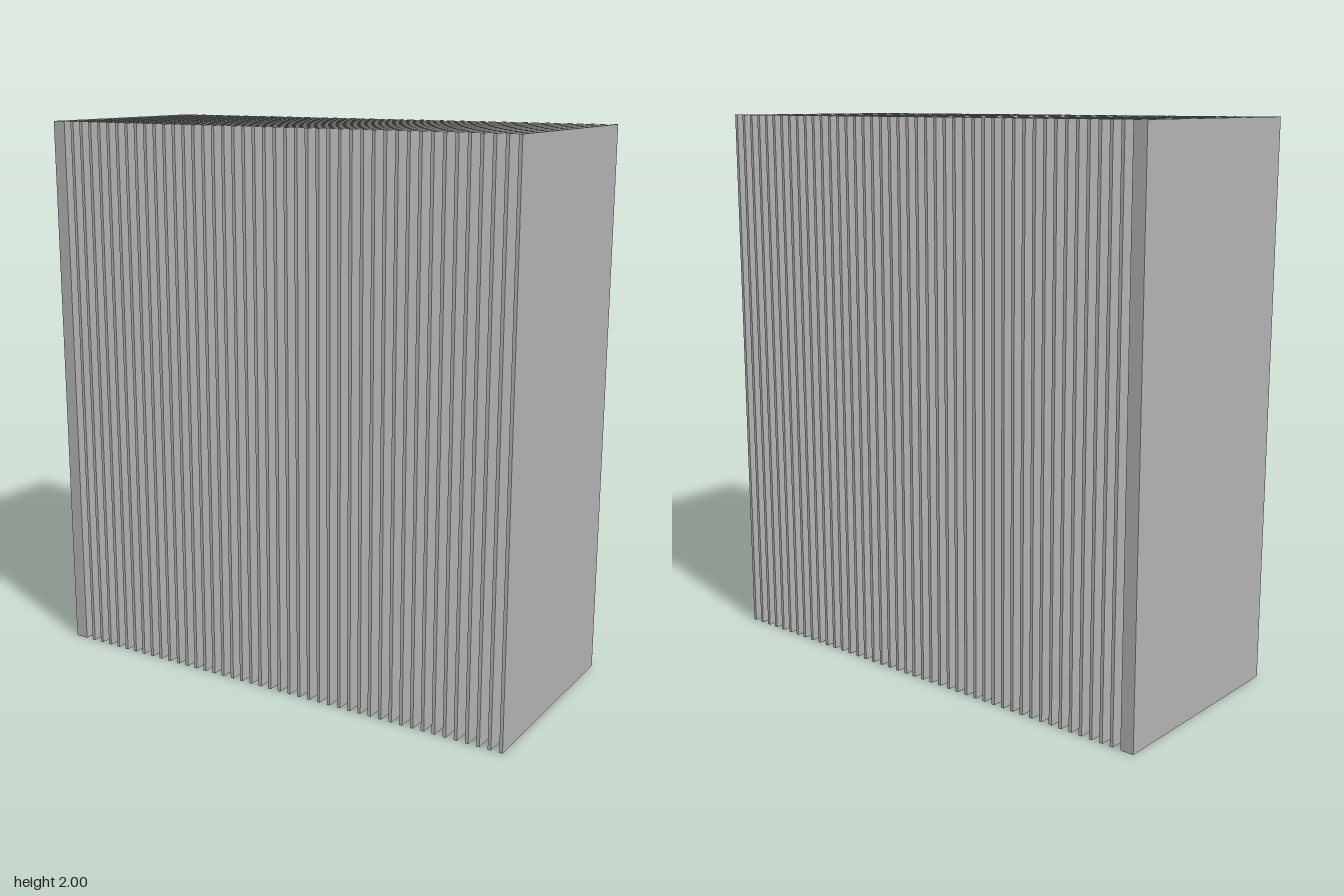
import * as THREE from 'three';

const HEIGHT = 2;
const DEPTH = 0.8;
const HALF_WIDTH = 0.92;
const BASE_THICKNESS = 0.05;
const FIN_THICKNESS = 0.012;
const FIN_COUNT = 43;

export function createModel() {
  const model = new THREE.Group();
  model.name = 'finStack';
  const metal = new THREE.MeshStandardMaterial({ color: 0xb2b2b2 });
  metal.name = 'light grey metal';

  // Upright plate, standing on the ground, with its right face at x = left edge + thickness
  const addPlate = (name, geometry, x) => {
    const plate = new THREE.Mesh(geometry, metal);
    plate.name = name;
    plate.position.set(x, HEIGHT / 2, 0);
    model.add(plate);
  };

  // Thick plate at one end
  const base = new THREE.BoxGeometry(BASE_THICKNESS, HEIGHT, DEPTH);
  addPlate('basePlate', base, -HALF_WIDTH + BASE_THICKNESS / 2);

  // Evenly spaced thin fins, separated by open gaps
  const fin = new THREE.BoxGeometry(FIN_THICKNESS, HEIGHT, DEPTH);
  const pitch = (2 * HALF_WIDTH - BASE_THICKNESS) / FIN_COUNT;
  for (let i = 0; i < FIN_COUNT; i++) {
    addPlate(`fin${i + 1}`, fin, HALF_WIDTH - FIN_THICKNESS / 2 - i * pitch);
  }

  return model;
}
